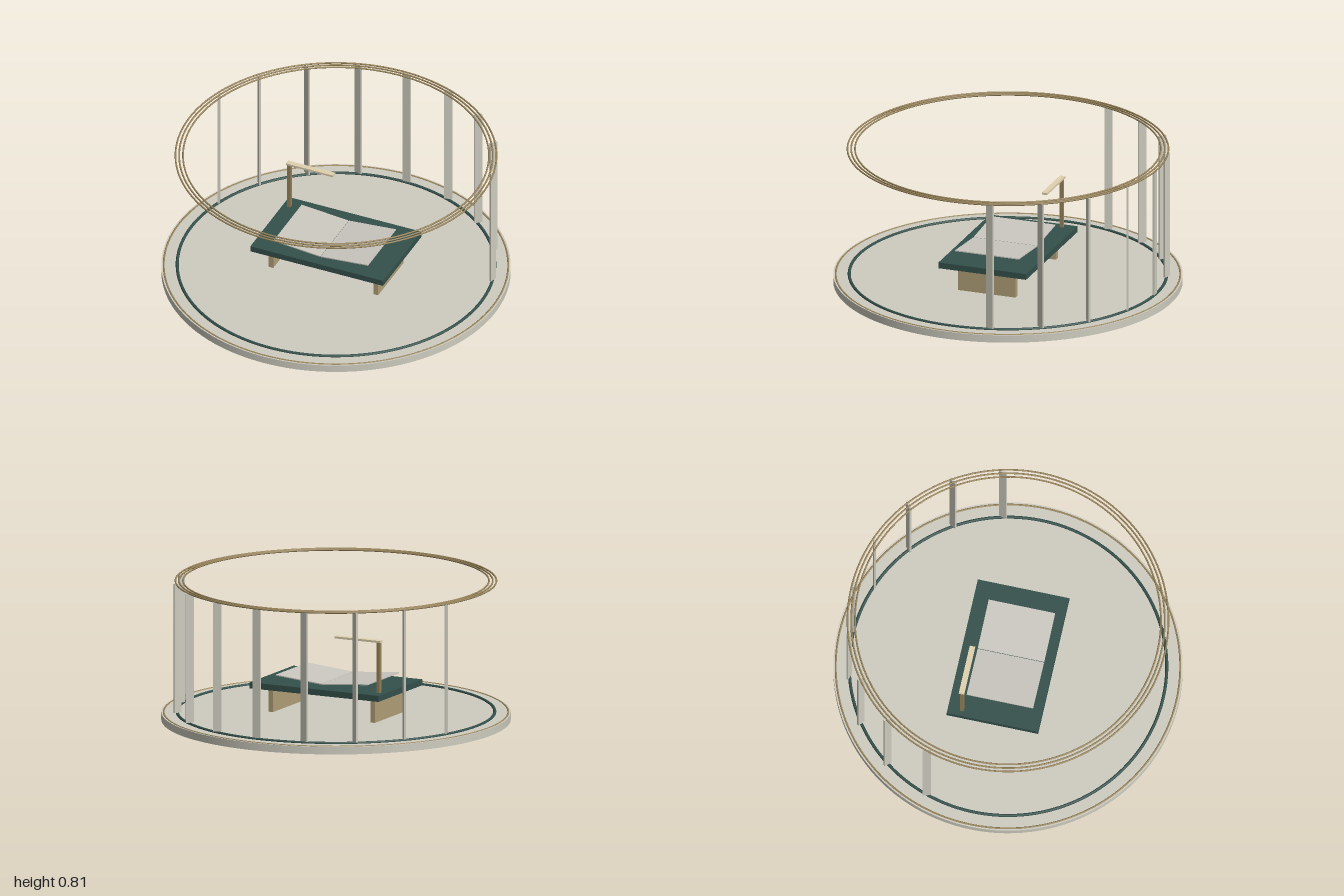
import * as THREE from 'three';

const mat = (name, color, side = THREE.FrontSide) => {
  const m = new THREE.MeshStandardMaterial({ color, side });
  m.name = name;
  return m;
};

export function createModel() {
  const stone = mat('pale stone', 0xcfcdc0);
  const green = mat('dark green', 0x34504b);
  const brass = mat('brass', 0x97835a);
  const wood = mat('tan wood', 0xb09f78);
  const paper = mat('page grey', 0xcbc8c0);
  const cream = mat('cream', 0xe0d2b0);

  const model = new THREE.Group();
  model.name = 'roundReadingPavilion';

  const add = (name, geometry, material, x = 0, y = 0, z = 0, parent = model) => {
    const mesh = new THREE.Mesh(geometry, material);
    mesh.name = name;
    mesh.position.set(x, y, z);
    parent.add(mesh);
    return mesh;
  };
  const box = (name, w, h, d, material, x, y, z, parent) =>
    add(name, new THREE.BoxGeometry(w, h, d), material, x, y, z, parent);
  const ring = (name, radius, tube, y, material) => {
    const mesh = add(name, new THREE.TorusGeometry(radius, tube, 10, 128), material, 0, y, 0);
    mesh.rotation.x = Math.PI / 2;
    return mesh;
  };

  // Round platform with its two inlaid rings
  add('platform', new THREE.CylinderGeometry(0.996, 0.996, 0.044, 128), stone, 0, 0.022, 0);
  ring('platformTrim', 0.982, 0.006, 0.042, brass);
  ring('floorRing', 0.905, 0.009, 0.046, green);

  // Three thin overhead rings
  for (const radius of [0.915, 0.894, 0.872]) ring('overheadRing', radius, 0.005, 0.807, brass);

  // Louvre slats round the back, each turned against the curve
  const slats = new THREE.Group();
  slats.name = 'slats';
  model.add(slats);
  for (let i = 0; i < 9; i++) {
    const a = THREE.MathUtils.degToRad(2.1 + 18.43 * (i - 4));
    const slat = box('slat', 0.046, 0.75, 0.012, stone,
      0.907 * Math.sin(a), 0.43, -0.907 * Math.cos(a), slats);
    slat.rotation.y = a;
  }

  // Low table
  box('tableTop', 0.83, 0.035, 0.534, green, 0, 0.207, 0);
  for (const s of [-1, 1]) box('tableLeg', 0.03, 0.146, 0.35, wood, s * 0.328, 0.117, 0);

  // Open book: two pages rising from the middle fold
  const tilt = Math.atan2(0.025, 0.295);
  for (const s of [-1, 1]) {
    const page = box('page', 0.294, 0.006, 0.388, paper, s * 0.1485, 0.249, 0.017);
    page.rotation.z = s * tilt;
  }

  // Reading lamp: post and horizontal arm
  box('lampPost', 0.02, 0.295, 0.022, brass, -0.375, 0.37, -0.186);
  box('lampArm', 0.295, 0.012, 0.032, cream, -0.243, 0.523, -0.186);

  return model;
}
